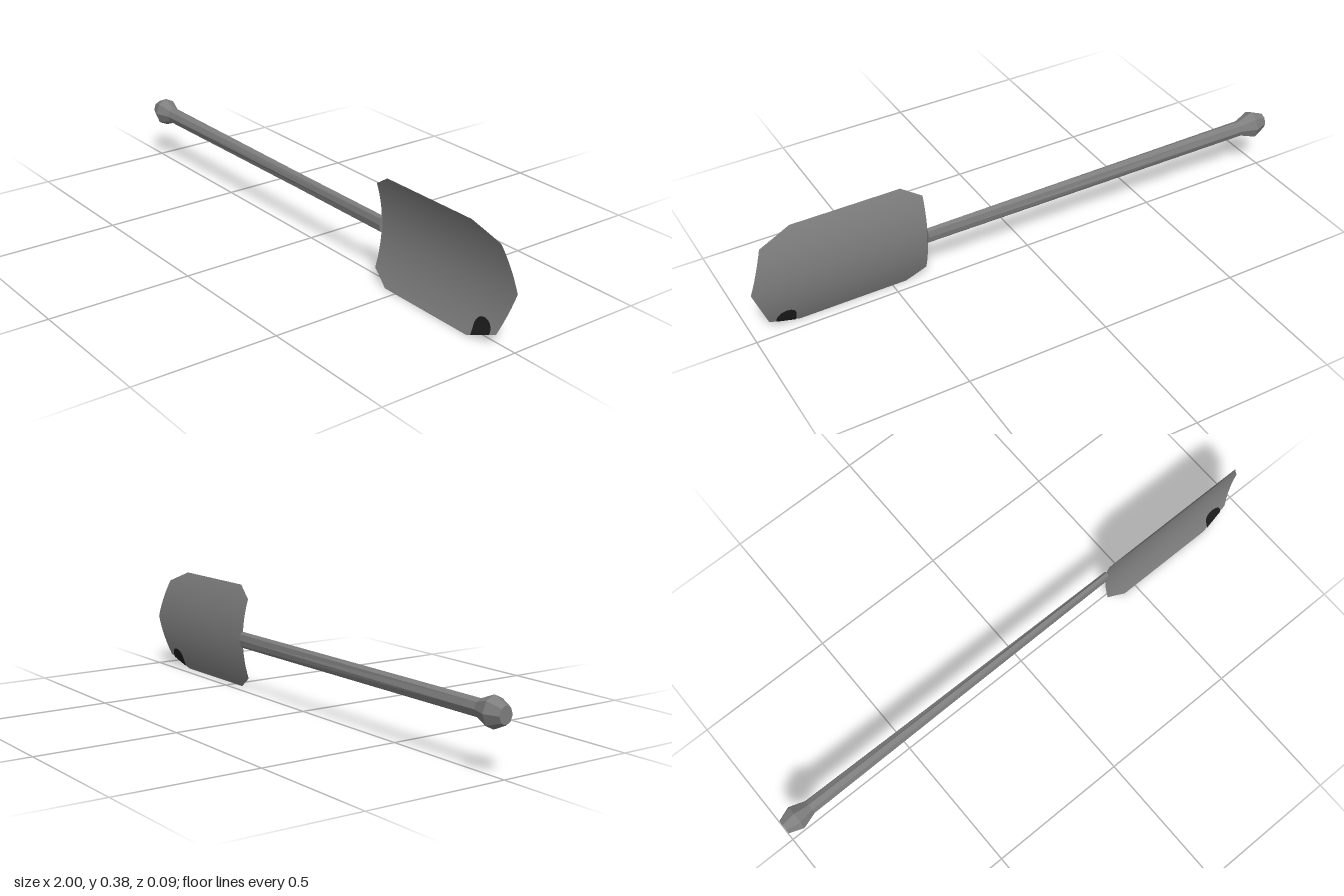
import * as THREE from 'three';

const MID = 0.19; // height of the long axis

// Piecewise-linear lookup through [key, value] pairs
function lookup(pairs, k) {
  for (let i = 1; i < pairs.length; i++) {
    const [k0, v0] = pairs[i - 1], [k1, v1] = pairs[i];
    if (k <= k1) return v0 + (v1 - v0) * (k - k0) / (k1 - k0);
  }
  return pairs[pairs.length - 1][1];
}

// Blade outline: x of the socket side and tip side by distance from the axis
const socketSide = (y) => lookup([[0, 0.38], [0.147, 0.38], [0.19, 0.45]], Math.abs(y - MID));
const tipSide = (y) => lookup([[0, 0.997], [0.147, 0.943], [0.19, 0.833]], Math.abs(y - MID));

// Sheet bowed towards +z at its long edges, made of strips along x
function bowedSheet(ys, left, right, offset) {
  const positions = [], index = [];
  ys.forEach((y, i) => {
    const z = 0.04 * ((y - MID) / 0.19) ** 2 + offset;
    positions.push(left(y), y, z, right(y), y, z);
    if (i > 0) {
      const a = 2 * (i - 1);
      index.push(a, a + 1, a + 3, a, a + 3, a + 2);
    }
  });
  const geometry = new THREE.BufferGeometry();
  geometry.setAttribute('position', new THREE.Float32BufferAttribute(positions, 3));
  geometry.setIndex(index);
  geometry.computeVertexNormals();
  return geometry;
}

function range(from, to, steps) {
  return Array.from({ length: steps + 1 }, (_, i) => from + (to - from) * i / steps);
}

export function createModel() {
  const model = new THREE.Group();
  model.name = 'shovel';
  const metal = new THREE.MeshStandardMaterial({ color: 0x7e7e7e, side: THREE.DoubleSide });
  metal.name = 'grey metal';
  const dark = new THREE.MeshStandardMaterial({ color: 0x1c1c1c, side: THREE.DoubleSide });
  dark.name = 'dark notch';

  const add = (name, geometry, material) => {
    const mesh = new THREE.Mesh(geometry, material);
    mesh.name = name;
    model.add(mesh);
  };

  // Handle: eight-sided shaft with a knob, flattening towards the blade
  const profile = [[0, -1], [0.03, -1], [0.052, -0.95], [0.03, -0.895], [0.03, 0.383], [0, 0.383]];
  const handle = new THREE.LatheGeometry(profile.map(([r, x]) => new THREE.Vector2(r, x)), 8)
    .rotateZ(-Math.PI / 2).toNonIndexed();
  const p = handle.attributes.position;
  for (let i = 0; i < p.count; i++) {
    p.setZ(i, p.getZ(i) * lookup([[-1, 0.86], [-0.895, 0.86], [0.383, 0.43]], p.getX(i)));
  }
  handle.computeVertexNormals();
  handle.translate(0, MID, 0);
  add('handle', handle, metal);

  // Blade
  const bladeRows = [...range(0, 0.043, 4), ...range(0.043, 0.337, 16).slice(1), ...range(0.337, 0.38, 4).slice(1)];
  add('blade', bowedSheet(bladeRows, socketSide, tipSide, 0), metal);

  // Dark arched notch by the lower tip edge, on both faces
  const halfWidth = (y) => y < 0.04 ? 0.035 : Math.sqrt(Math.max(0, 0.035 ** 2 - (y - 0.04) ** 2));
  const notchRows = [...range(0.007, 0.04, 5), ...range(0.04, 0.075, 10).slice(1)];
  const notchLeft = (y) => 0.885 - halfWidth(y);
  const notchRight = (y) => Math.min(0.885 + halfWidth(y), tipSide(y));
  add('notchFront', bowedSheet(notchRows, notchLeft, notchRight, 0.002), dark);
  add('notchBack', bowedSheet(notchRows, notchLeft, notchRight, -0.002), dark);

  return model;
}
